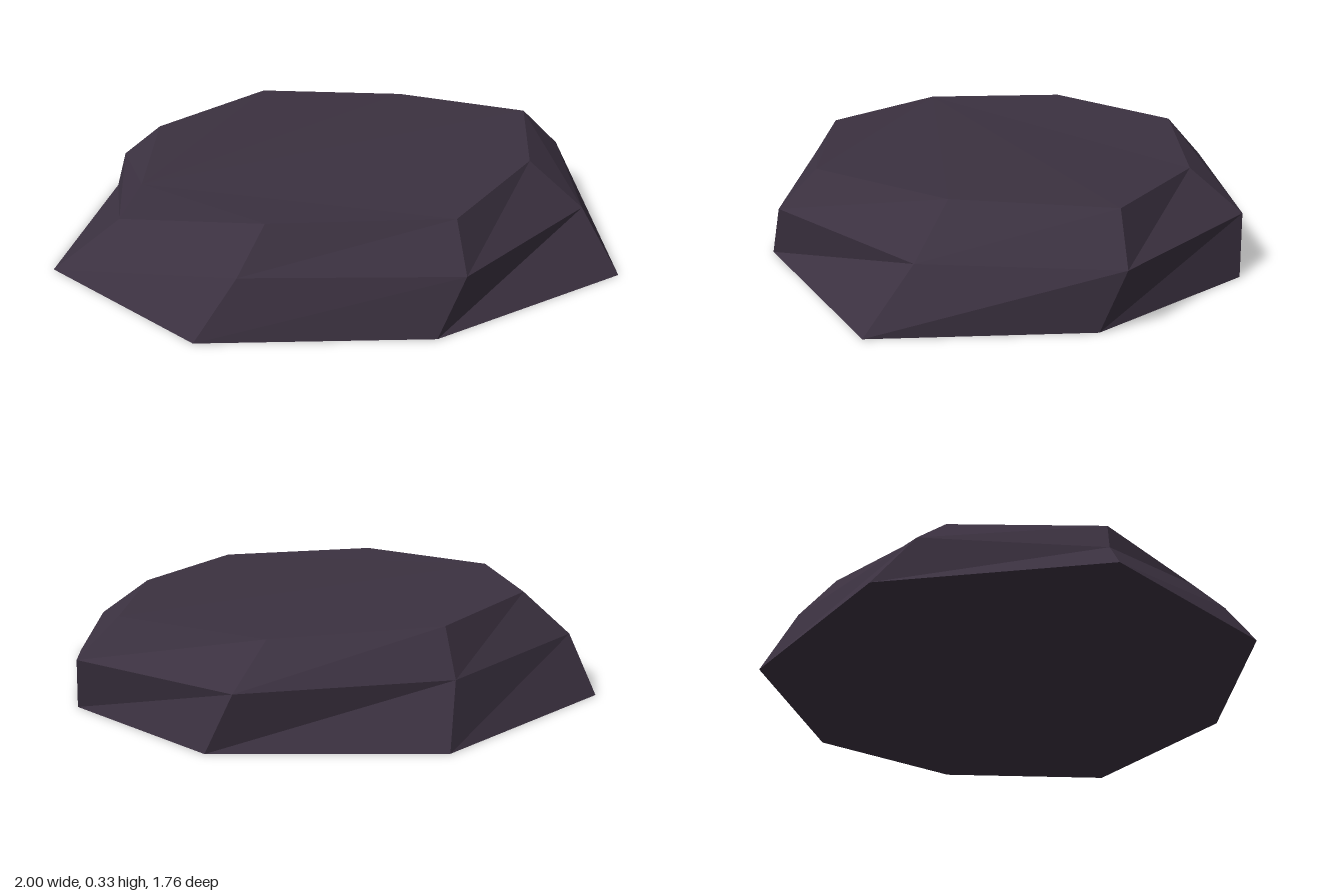
import * as THREE from 'three';

// Three eight-sided cross-sections of the slab, [x, y, z], running left, front, right, back
const base = [[-1, 0.03], [-0.65, 0.66], [0.07, 0.88], [0.83, 0.7], [0.99, 0.03], [0.74, -0.56], [0.07, -0.88], [-0.67, -0.63]]
  .map(([x, z]) => [x, 0, z]);
const shoulder = [[-0.77, 0.1], [-0.5, 0.64], [0.17, 0.86], [0.77, 0.53], [1, -0.05], [0.66, -0.6], [-0.01, -0.77], [-0.65, -0.49]]
  .map(([x, z]) => [x, 0.19, z]);
const rim = [
  [-0.69, 0.32, 0.13], [-0.39, 0.33, 0.58], [0.19, 0.325, 0.73], [0.63, 0.33, 0.39],
  [0.86, 0.33, -0.08], [0.5, 0.31, -0.48], [-0.04, 0.33, -0.65], [-0.53, 0.33, -0.37],
];

// Join the rings with quads and close both ends with fans
function slabGeometry(rings) {
  const n = rings[0].length;
  const index = [];
  for (let r = 0; r < rings.length - 1; r++) {
    for (let i = 0; i < n; i++) {
      const j = (i + 1) % n;
      const a = r * n + i, b = r * n + j, c = a + n, d = b + n;
      index.push(a, b, d, a, d, c);
    }
  }
  const top = (rings.length - 1) * n;
  for (let i = 1; i < n - 1; i++) {
    index.push(top, top + i, top + i + 1);
    index.push(0, i + 1, i);
  }
  const indexed = new THREE.BufferGeometry();
  indexed.setAttribute('position', new THREE.Float32BufferAttribute(rings.flat(2), 3));
  indexed.setIndex(index);
  const geometry = indexed.toNonIndexed();
  geometry.computeVertexNormals();
  return geometry;
}

export function createModel() {
  const stone = new THREE.MeshStandardMaterial({ color: 0x3b3140 });
  stone.name = 'dark purple stone';
  stone.flatShading = true;

  const slab = new THREE.Mesh(slabGeometry([base, shoulder, rim]), stone);
  slab.name = 'rockSlab';

  const model = new THREE.Group();
  model.name = 'flatRock';
  model.add(slab);
  return model;
}
